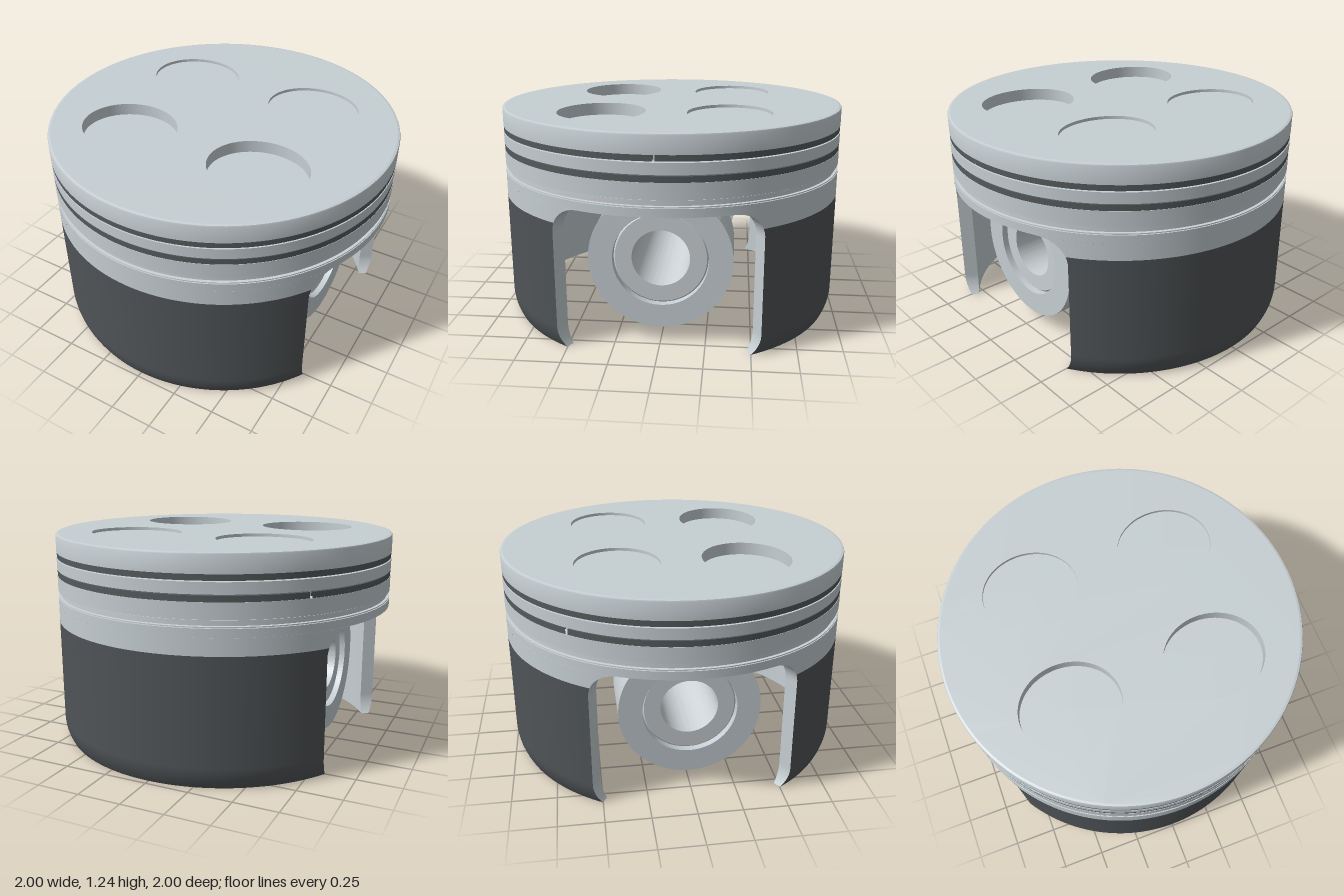
import * as THREE from 'three';
import { toCreasedNormals } from 'three/addons/utils/BufferGeometryUtils.js';
import { ParametricGeometry } from 'three/addons/geometries/ParametricGeometry.js';

const SEG = 128;
const PIN_Y = 0.48;
const SKIRT_INNER = 0.92;

function material(name, color) {
  const m = new THREE.MeshStandardMaterial({ color, side: THREE.DoubleSide });
  m.name = name;
  return m;
}

function lathe(points, start = 0, length = Math.PI * 2) {
  const pts = points.map(([r, y]) => new THREE.Vector2(r, y));
  return toCreasedNormals(new THREE.LatheGeometry(pts, SEG, start, length), 0.5);
}

// Closed rectangular ring profile
const ringProfile = (r0, r1, y0, y1) => [[r0, y0], [r1, y0], [r1, y1], [r0, y1], [r0, y0]];

// Skirt outer radius, narrowing at the foot
const skirtRadius = (y) => 1 - (y < 0.12 ? 0.032 * (1 - y / 0.12) ** 2 : 0);

// Half width of the side opening, with rounded top corners
function openingHalf(y) {
  if (y < 0.12) return 0.552 - 0.05 * (1 - y / 0.12) ** 2;
  if (y < 0.67) return 0.552;
  const t = Math.min((y - 0.67) / 0.145, 1);
  return 0.552 - 0.15 * (1 - Math.sqrt(1 - t * t));
}

const skirtAngle = (y) => Math.acos(openingHalf(y) / skirtRadius(y));

export function createModel() {
  const model = new THREE.Group();
  model.name = 'piston';
  const aluminium = material('aluminium', 0xc6cfd3);
  const coating = material('dark skirt coating', 0x505457);
  const ringSteel = material('dark ring steel', 0x545a5c);
  const steel = material('bright steel', 0xccd2d6);

  const add = (parent, name, geometry, mat) => {
    const mesh = new THREE.Mesh(geometry, mat);
    mesh.name = name;
    parent.add(mesh);
    return mesh;
  };

  // Crown body: hollow underside, ring grooves and rounded top edge
  add(model, 'crownBody', lathe([
    [0, 1.04], [0.78, 1.04], [0.84, 1.02], [0.87, 0.96], [SKIRT_INNER, 0.815], [1, 0.815],
    [1, 0.862], [0.95, 0.862], [0.95, 0.906], [1, 0.906],
    [1, 0.993], [0.95, 0.993], [0.95, 1.031], [1, 1.031],
    [1, 1.092], [0.95, 1.092], [0.95, 1.13], [1, 1.13],
    [1, 1.225], [0.997, 1.232], [0.985, 1.235],
  ]), aluminium);

  // Crown top with four elliptical valve pockets, deeper at the front
  const pockets = [];
  for (const s of [-1, 1]) {
    pockets.push({ x: s * 0.41, z: 0.355, rx: 0.28, rz: 0.245, floor: 1.165 });
    pockets.push({ x: s * 0.4, z: -0.355, rx: 0.27, rz: 0.235, floor: 1.218 });
  }
  const top = new THREE.Shape();
  top.absarc(0, 0, 0.985, 0, Math.PI * 2);
  for (const p of pockets) {
    const hole = new THREE.Path();
    hole.absellipse(p.x, -p.z, p.rx, p.rz, 0, Math.PI * 2, true);
    top.holes.push(hole);
  }
  const plate = new THREE.ExtrudeGeometry(top, { depth: 0.085, bevelEnabled: false, curveSegments: 64 });
  plate.rotateX(-Math.PI / 2).translate(0, 1.15, 0);
  add(model, 'crownTop', toCreasedNormals(plate, 0.5), aluminium);
  for (const p of pockets) {
    const floor = new THREE.CircleGeometry(1, 64).rotateX(-Math.PI / 2);
    floor.scale(p.rx, 1, p.rz).translate(p.x, p.floor, p.z);
    add(model, 'valvePocketFloor', floor, aluminium);
  }

  // Compression rings, each with a small end gap
  for (const [name, y, gap] of [['topRing', 1.098, Math.PI / 2], ['secondRing', 0.993, Math.PI * 1.278]]) {
    add(model, name, lathe(ringProfile(0.95, 0.998, y, y + 0.032), gap + 0.007, Math.PI * 2 - 0.014), ringSteel);
  }

  // Oil ring: two rails and a spacer
  const oilRing = new THREE.Group();
  oilRing.name = 'oilRing';
  model.add(oilRing);
  add(oilRing, 'lowerRail', lathe(ringProfile(0.95, 0.996, 0.864, 0.87)), steel);
  add(oilRing, 'upperRail', lathe(ringProfile(0.95, 0.996, 0.898, 0.904)), steel);
  add(oilRing, 'spacer', lathe(ringProfile(0.95, 0.982, 0.872, 0.896)), steel);

  // Skirts: curved walls at the front and back
  const wall = (yAt, radiusAt, nu, nv) => new ParametricGeometry((u, v, target) => {
    const y = yAt(v);
    const a = (2 * u - 1) * skirtAngle(y);
    const r = radiusAt(y);
    target.set(r * Math.sin(a), y, r * Math.cos(a));
  }, nu, nv);
  const inner = () => SKIRT_INNER;
  const lowY = (v) => 0.72 * v;
  const highY = (v) => 0.72 + 0.095 * Math.sin(v * Math.PI / 2);
  for (const [name, turn] of [['frontSkirt', 0], ['backSkirt', Math.PI]]) {
    const skirt = new THREE.Group();
    skirt.name = name;
    skirt.rotation.y = turn;
    model.add(skirt);
    add(skirt, 'skirtCoating', wall(lowY, skirtRadius, 64, 36), coating);
    add(skirt, 'skirtUpperBand', wall(highY, skirtRadius, 64, 16), aluminium);
    add(skirt, 'skirtInnerLower', wall(lowY, inner, 64, 36), aluminium);
    add(skirt, 'skirtInnerUpper', wall(highY, inner, 64, 16), aluminium);
    add(skirt, 'skirtFoot', new ParametricGeometry((u, v, target) => {
      const a = (2 * u - 1) * skirtAngle(0);
      const r = SKIRT_INNER + (skirtRadius(0) - SKIRT_INNER) * v;
      target.set(r * Math.sin(a), 0, r * Math.cos(a));
    }, 64, 1), coating);
    for (const s of [-1, 1]) {
      for (const [yAt, rows] of [[lowY, 36], [highY, 16]]) {
        add(skirt, 'skirtEdge', new ParametricGeometry((u, v, target) => {
          const y = yAt(v);
          const r = SKIRT_INNER + (skirtRadius(y) - SKIRT_INNER) * u;
          const a = s * skirtAngle(y);
          target.set(r * Math.sin(a), y, r * Math.cos(a));
        }, 1, rows), aluminium);
      }
    }
  }

  // Pin bosses, each hung from the crown on a pair of ribs
  const bossShape = new THREE.Shape();
  bossShape.absarc(0, PIN_Y, 0.395, 0, Math.PI * 2);
  const bore = new THREE.Path();
  bore.absarc(0, PIN_Y, 0.263, 0, Math.PI * 2, true);
  bossShape.holes.push(bore);
  for (const s of [-1, 1]) {
    const boss = new THREE.ExtrudeGeometry(bossShape, { depth: 0.36, bevelEnabled: false, curveSegments: 48 });
    boss.translate(0, 0, -0.18).rotateY(Math.PI / 2).translate(s * 0.53, 0, 0);
    add(model, 'pinBoss', toCreasedNormals(boss, 0.5), aluminium);
    for (const t of [-1, 1]) {
      const rib = new THREE.BoxGeometry(0.3, 0.37, 0.13);
      add(model, 'bossRib', rib.translate(s * 0.53, 0.865, t * 0.255), aluminium);
    }
  }

  // Hollow wrist pin
  const pin = lathe([
    [0.16, -0.68], [0.252, -0.68], [0.26, -0.672], [0.26, 0.672], [0.252, 0.68], [0.16, 0.68], [0.16, -0.68],
  ]);
  add(model, 'wristPin', pin.rotateZ(Math.PI / 2).translate(0, PIN_Y, 0), steel);

  return model;
}
